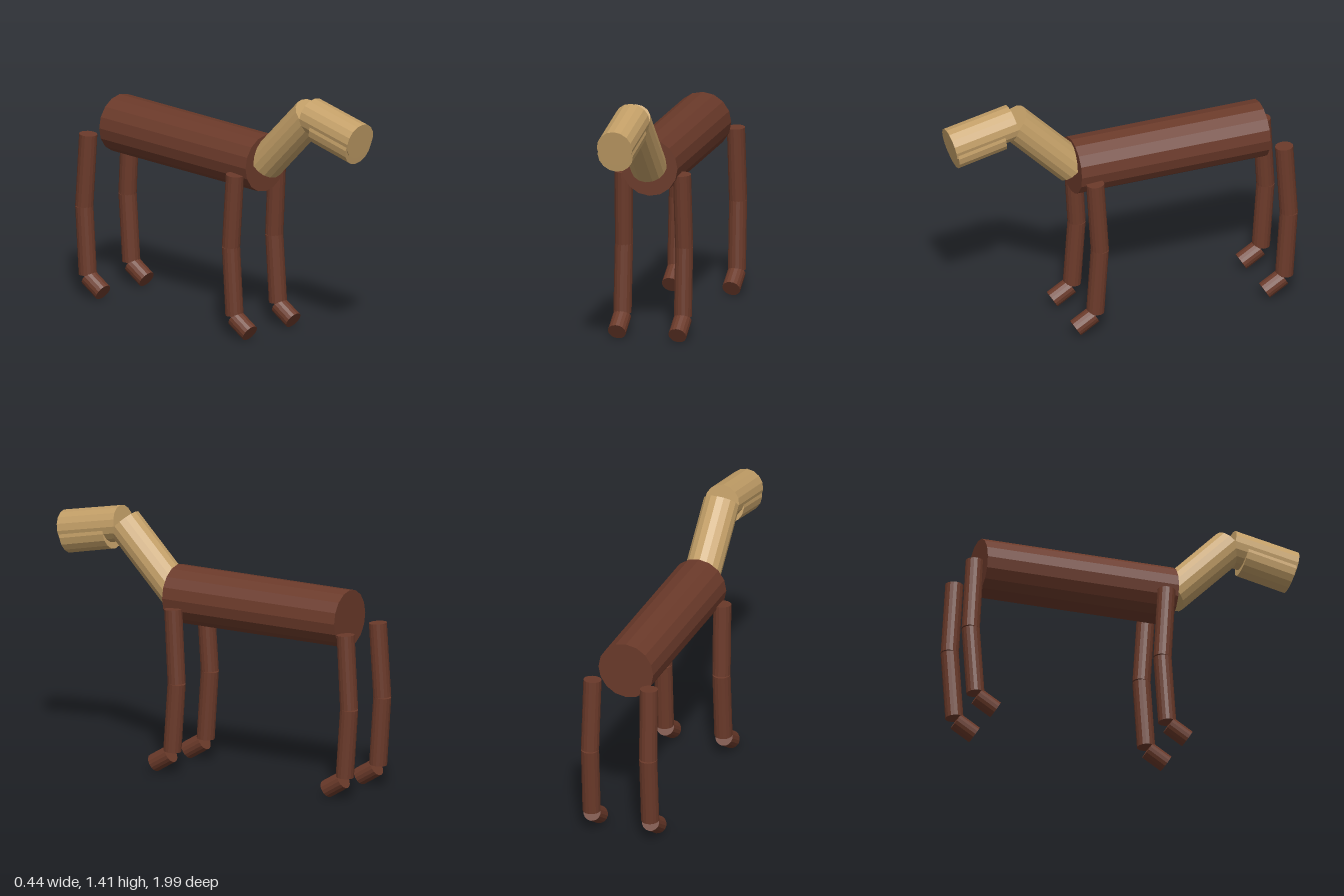
import * as THREE from 'three';

const UP = new THREE.Vector3(0, 1, 0);

// Closed 16-sided cylinder running from point a to point b
function limb(name, a, b, radius, material) {
  const start = new THREE.Vector3(...a);
  const end = new THREE.Vector3(...b);
  const axis = end.clone().sub(start);
  const mesh = new THREE.Mesh(
    new THREE.CylinderGeometry(radius, radius, axis.length(), 16), material);
  mesh.name = name;
  mesh.position.copy(start).add(end).multiplyScalar(0.5);
  mesh.quaternion.setFromUnitVectors(UP, axis.normalize());
  return mesh;
}

export function createModel() {
  const brown = new THREE.MeshStandardMaterial({ color: 0x6b3a2a, flatShading: true });
  brown.name = 'brown coat';
  const tan = new THREE.MeshStandardMaterial({ color: 0xc4a068, flatShading: true });
  tan.name = 'tan coat';

  const model = new THREE.Group();
  model.name = 'fourLeggedAnimal';

  // Trunk, neck and head
  model.add(
    limb('body', [0, 0.97, -0.842], [0, 0.97, 0.265], 0.16, brown),
    limb('neck', [0, 0.974, 0.269], [0, 1.319, 0.609], 0.1, tan),
    limb('head', [0, 1.316, 0.614], [0, 1.243, 0.978], 0.1, tan),
    limb('jaw', [0, 1.264, 0.686], [0, 1.205, 0.964], 0.1, tan),
  );

  // Four jointed legs, slightly splayed at the knees
  for (const [end, z] of [['front', 0], ['hind', -1.11]]) {
    for (const [side, s] of [['Left', 1], ['Right', -1]]) {
      const leg = new THREE.Group();
      leg.name = `${end}${side}Leg`;
      leg.position.z = z;
      leg.add(
        limb('upperLeg', [s * 0.165, 0.924, 0.19], [s * 0.17, 0.512, 0.165], 0.05, brown),
        limb('lowerLeg', [s * 0.17, 0.51, 0.165], [s * 0.171, 0.128, 0.192], 0.05, brown),
        limb('foot', [s * 0.171, 0.111, 0.2], [s * 0.171, 0.046, 0.308], 0.05, brown),
      );
      model.add(leg);
    }
  }
  return model;
}
